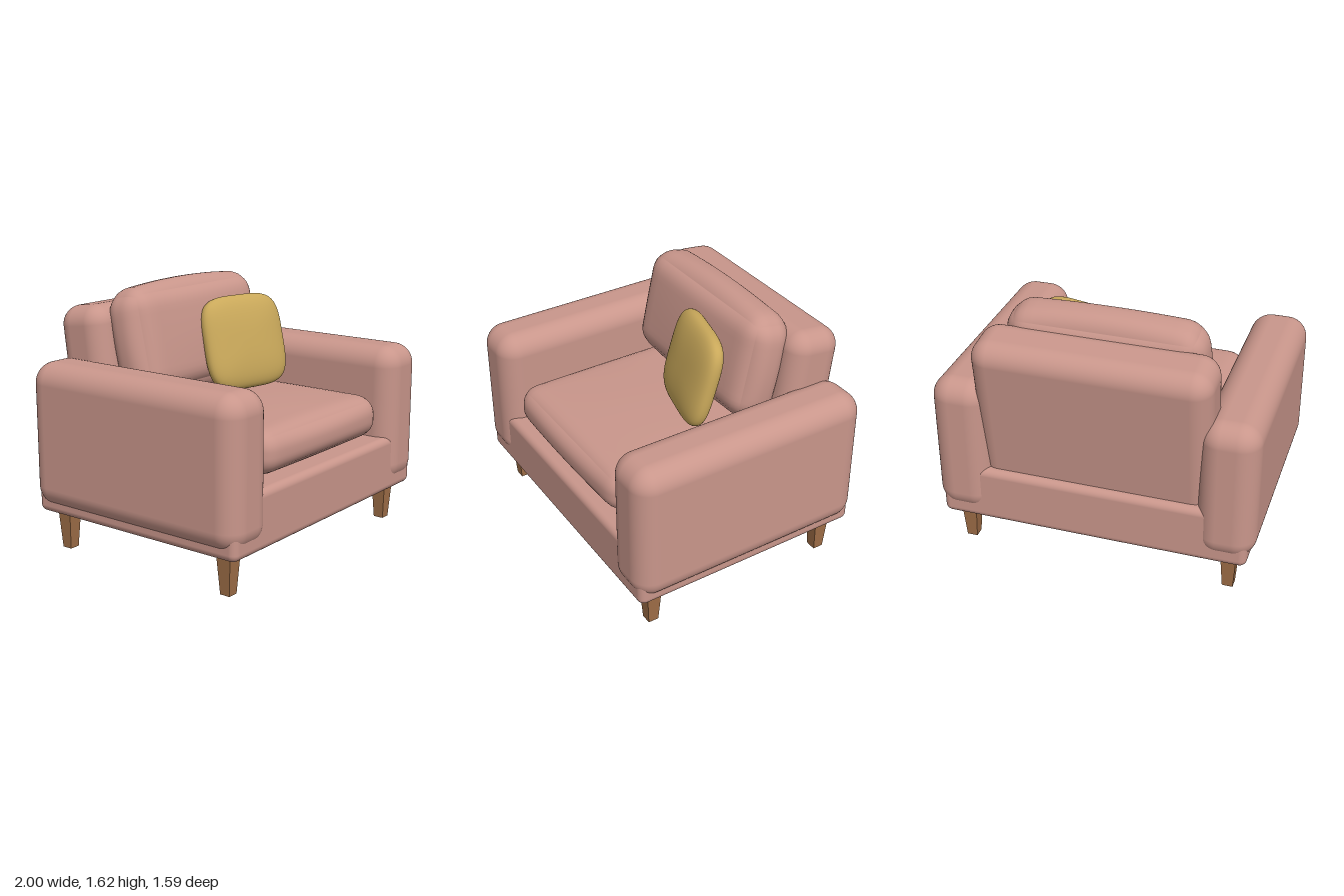
import * as THREE from 'three';
import { mergeVertices } from 'three/addons/utils/BufferGeometryUtils.js';
import { RoundedBoxGeometry } from 'three/addons/geometries/RoundedBoxGeometry.js';

// Smooth cube whose unit points (denser near the edges) are moved by a rule
function shapedCube(rule, segments = 24) {
  let geo = new THREE.BoxGeometry(2, 2, 2, segments, segments, segments);
  geo.deleteAttribute('normal');
  geo.deleteAttribute('uv');
  geo = mergeVertices(geo);
  const pos = geo.attributes.position;
  const p = new THREE.Vector3();
  for (let i = 0; i < pos.count; i++) {
    p.fromBufferAttribute(pos, i);
    p.set(...p.toArray().map((v) => Math.sin((v * Math.PI) / 2)));
    rule(p);
    pos.setXYZ(i, p.x, p.y, p.z);
  }
  geo.computeVertexNormals();
  return geo;
}

// Rounded box with softly bulging faces; hx, hy, hz are the full half sizes
function cushionGeometry(hx, hy, hz, radius, bulge) {
  const half = new THREE.Vector3(hx, hy, hz).sub(bulge);
  const inner = half.clone().subScalar(radius);
  const outer = inner.clone().negate();
  return shapedCube((p) => {
    const u = p.clone();
    p.multiply(half);
    const core = p.clone().clamp(outer, inner);
    p.sub(core).setLength(radius).add(core);
    const [fx, fy, fz] = [1 - u.x * u.x, 1 - u.y * u.y, 1 - u.z * u.z];
    p.x += bulge.x * u.x * fy * fz;
    p.y += bulge.y * u.y * fx * fz;
    p.z += bulge.z * u.z * fx * fy;
  });
}

// Square-ish pillow with a rounded lens profile
function pillowGeometry(hx, hy, hz) {
  const plan = 4;
  const profile = 2.5;
  return shapedCube((p) => {
    const s = (Math.abs(p.x) ** plan + Math.abs(p.y) ** plan) ** (1 / plan);
    const f = (s ** profile + Math.abs(p.z) ** profile) ** (1 / profile);
    p.divideScalar(f).multiply(new THREE.Vector3(hx, hy, hz));
  });
}

export function createModel() {
  const group = new THREE.Group();
  const material = (name, color) => {
    const m = new THREE.MeshStandardMaterial({ color });
    m.name = name;
    return m;
  };
  const fabric = material('rose fabric', 0xc9968b);
  const mustard = material('mustard fabric', 0xc9a85a);
  const wood = material('wood', 0xa06f48);

  const add = (name, geo, mat, x, y, z) => {
    const mesh = new THREE.Mesh(geo, mat);
    mesh.name = name;
    mesh.position.set(x, y, z);
    group.add(mesh);
    return mesh;
  };

  // Base frame
  add('base', new RoundedBoxGeometry(1.92, 0.36, 1.52, 5, 0.045), fabric, 0, 0.42, 0.01);

  // Arms
  const armGeo = new RoundedBoxGeometry(0.36, 0.9, 1.56, 8, 0.13);
  add('leftArm', armGeo, fabric, 0.82, 0.73, 0.01);
  add('rightArm', armGeo, fabric, -0.82, 0.73, 0.01);

  // Reclined backrest
  const back = add('backrest', new RoundedBoxGeometry(1.44, 1.0, 0.36, 8, 0.12), fabric, 0, 0.995, -0.57);
  back.rotation.x = -0.125;

  // Seat and back cushions
  add('seatCushion', cushionGeometry(0.63, 0.153, 0.575, 0.115, new THREE.Vector3(0.015, 0.02, 0.02)),
    fabric, 0, 0.757, 0.175);
  const backCushion = add('backCushion',
    cushionGeometry(0.62, 0.365, 0.175, 0.13, new THREE.Vector3(0.03, 0.035, 0.02)),
    fabric, 0, 1.262, -0.335);
  backCushion.rotation.x = -0.21;

  // Throw pillow leaning on the back cushion
  const pillow = add('throwPillow', pillowGeometry(0.312, 0.3, 0.085), mustard, 0.22, 1.205, -0.055);
  pillow.rotation.set(-0.26, -0.24, 0, 'YXZ');

  // Tapered square legs
  const legGeo = new THREE.CylinderGeometry(0.05 * Math.SQRT2, 0.033 * Math.SQRT2, 0.26, 4)
    .rotateY(Math.PI / 4)
    .toNonIndexed();
  legGeo.computeVertexNormals();
  for (const [side, x] of [['Left', 0.837], ['Right', -0.837]]) {
    add('front' + side + 'Leg', legGeo, wood, x, 0.13, 0.632);
    add('back' + side + 'Leg', legGeo, wood, x, 0.13, -0.607);
  }

  return group;
}
